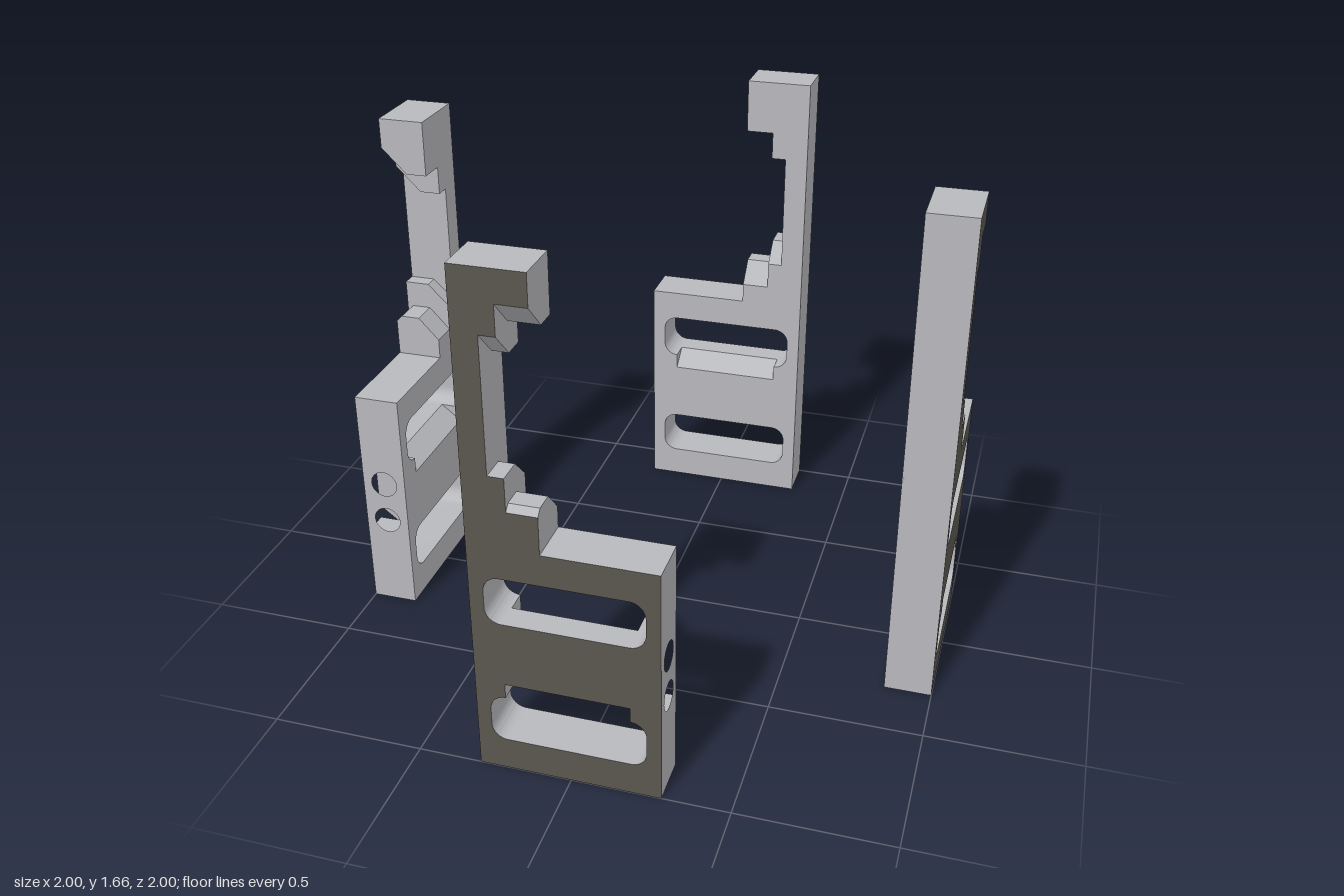
import * as THREE from 'three';
import { toCreasedNormals } from 'three/addons/utils/BufferGeometryUtils.js';

const OUT = 1, MID = 0.915, IN = 0.845;    // outer face, mid depth, inner face
const LEFT = -0.295, RIGHT = 0.285;        // plate sides
const TOP = 1.665, SHOULDER = 0.805;

export function createModel() {
  const grey = new THREE.MeshStandardMaterial({ color: 0xb8b9bd });
  grey.name = 'machined grey';
  const dark = new THREE.MeshStandardMaterial({ color: 0x5b5750 });
  dark.name = 'dark outer coating';

  // Mesh whose faces with a normal z above the limit take the dark coating
  function part(name, geometry, limit = 0.95) {
    const g = toCreasedNormals(geometry, 0.6);
    g.clearGroups();
    const n = g.attributes.normal;
    for (let i = 0; i < n.count; i += 3) {
      g.addGroup(i, 3, n.getZ(i) > limit ? 1 : 0);
    }
    const mesh = new THREE.Mesh(g, [grey, dark]);
    mesh.name = name;
    return mesh;
  }

  // Extrude a [z, y] cross-section along x, with optional round holes
  function alongX(points, x0, x1, holes = []) {
    const shape = new THREE.Shape(points.map(([z, y]) => new THREE.Vector2(-z, y)));
    for (const [z, y, r] of holes) {
      shape.holes.push(new THREE.Path().absarc(-z, y, r, 0, Math.PI * 2, true));
    }
    return new THREE.ExtrudeGeometry(shape, { depth: x1 - x0, bevelEnabled: false, curveSegments: 24 })
      .rotateY(Math.PI / 2).translate(x0, 0, 0);
  }

  function plate() {
    const group = new THREE.Group();
    const r = 0.05, a = -0.2, b = 0.19, q = Math.PI / 2;

    // Lower body: both rounded slots, leaving room for the bridge between them
    const s = new THREE.Shape();
    s.moveTo(LEFT, 0);
    s.lineTo(RIGHT, 0);
    s.lineTo(RIGHT, 0.27);
    s.lineTo(b, 0.27);
    s.absarc(b, 0.22, r, q, 0, true);
    s.absarc(b, 0.16, r, 0, -q, true);
    s.absarc(a, 0.16, r, -q, -2 * q, true);
    s.absarc(a, 0.22, r, 2 * q, q, true);
    s.lineTo(a, 0.54);
    s.absarc(a, 0.59, r, -q, -2 * q, true);
    s.absarc(a, 0.65, r, 2 * q, q, true);
    s.absarc(b, 0.65, r, q, 0, true);
    s.absarc(b, 0.59, r, 0, -q, true);
    s.lineTo(RIGHT, 0.54);
    s.lineTo(RIGHT, SHOULDER);
    s.lineTo(LEFT, SHOULDER);
    const body = new THREE.ExtrudeGeometry(s, { depth: OUT - IN, bevelEnabled: false, curveSegments: 8 });
    group.add(part('slottedBody', body.translate(0, 0, IN)));

    // Bridge between the slots, bevelled on opposite edges
    group.add(part('bevelledBridge', alongX([
      [OUT, 0.32], [OUT, 0.54], [MID, 0.54], [IN, 0.485], [IN, 0.27], [MID + 0.02, 0.27],
    ], a, b), 0.3));

    // Side edge with two blind holes
    group.add(part('drilledEdge', alongX(
      [[OUT, 0.27], [OUT, 0.54], [IN, 0.54], [IN, 0.27]], b, RIGHT,
      [0.33, 0.475].map((y) => [0.9225, y, 0.047]))));

    // Tall post
    group.add(part('post', alongX(
      [[OUT, SHOULDER], [OUT, TOP], [IN, TOP], [IN, SHOULDER]], LEFT, -0.215)));

    // Stepped hook at the top, undersides bevelled toward the outer face
    const hook = (y) => [[OUT, y + 0.085], [OUT, TOP], [IN, TOP], [IN, y], [MID, y]];
    group.add(part('hookInnerStep', alongX(hook(1.385), -0.215, -0.165)));
    group.add(part('hookOuterStep', alongX(hook(1.48), -0.165, -0.07)));

    // Stepped ledge above the body, tops bevelled toward the inner face
    group.add(part('ledgeUpperStep', alongX(
      [[OUT, SHOULDER], [OUT, 1.04], [MID, 1.04], [IN, 0.97], [IN, SHOULDER]], -0.215, -0.165)));
    group.add(part('ledgeLowerStep', alongX(
      [[OUT, SHOULDER], [OUT, 0.93], [OUT - 0.02, 0.95], [MID, 0.95], [IN, 0.875], [IN, SHOULDER]],
      -0.165, -0.07)));
    return group;
  }

  // Four equal plates around the vertical axis
  const model = new THREE.Group();
  model.name = 'plateSet';
  ['frontPlate', 'leftPlate', 'backPlate', 'rightPlate'].forEach((name, i) => {
    const p = plate();
    p.name = name;
    p.rotation.y = i * Math.PI / 2;
    model.add(p);
  });
  return model;
}
